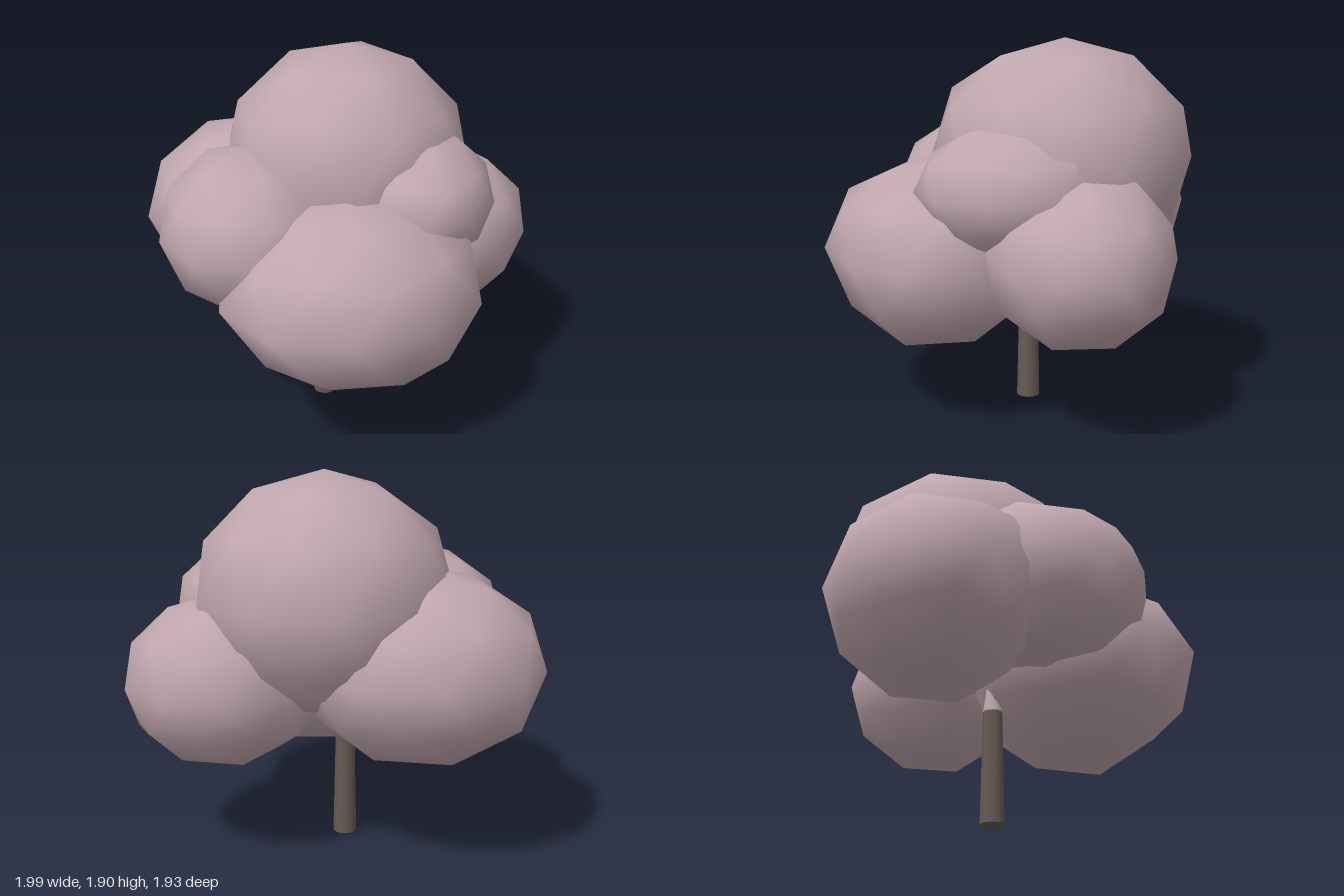
import * as THREE from 'three';
import { mergeVertices } from 'three/addons/utils/BufferGeometryUtils.js';

// Coarse smooth icosphere with a vertex at each pole.
// Each swell [x, y, z, amount] pushes the surface out (or in) around a direction.
function puffGeometry(radii, swells) {
  let g = new THREE.IcosahedronGeometry(1, 1);
  g.deleteAttribute('uv');
  g.deleteAttribute('normal');
  g = mergeVertices(g, 1e-4);
  g.rotateX(-Math.atan((1 + Math.sqrt(5)) / 2));
  g.rotateY(Math.PI / 2);
  const pos = g.attributes.position;
  const v = new THREE.Vector3();
  const dir = new THREE.Vector3();
  for (let i = 0; i < pos.count; i++) {
    v.fromBufferAttribute(pos, i);
    let size = 1;
    for (const [x, y, z, amount] of swells) {
      const near = v.dot(dir.set(x, y, z).normalize());
      size += amount * Math.max(0, (near - 0.72) / 0.28);
    }
    pos.setXYZ(i, v.x * size, v.y * size, v.z * size);
  }
  g.scale(...radii);
  g.computeVertexNormals();
  return g;
}

export function createModel() {
  const tree = new THREE.Group();
  tree.name = 'tree';
  const foliage = new THREE.MeshStandardMaterial({ color: 0xc0a7ad });
  foliage.name = 'dusty pink foliage';
  const bark = new THREE.MeshStandardMaterial({ color: 0x665a53 });
  bark.name = 'brown bark';

  const add = (name, geometry, material, x, y, z) => {
    const mesh = new THREE.Mesh(geometry, material);
    mesh.name = name;
    mesh.position.set(x, y, z);
    tree.add(mesh);
  };

  // Foliage clumps: name, centre, radii, swells
  const puffs = [
    ['topFoliage', [0.04, 1.3, -0.265], [0.64, 0.6, 0.635],
      [[0, 0.45, -0.9, 0.04], [-0.55, 0.1, 0.8, 0.05], [0, 0.45, 0.9, 0.06]]],
    ['frontFoliage', [0, 0.85, 0.37], [0.66, 0.54, 0.59],
      [[-0.65, -0.75, 0.15, -0.16], [-0.5, 0.85, 0.2, -0.1], [0.5, 0.85, 0.1, -0.13],
        [0, 0.8, 0.6, -0.06], [0, -0.8, 0.6, -0.08], [0, -0.8, -0.6, -0.12],
        [0.6, 0, 0.8, -0.08], [0.88, 0.45, 0, 0.06], [-0.85, 0.5, 0, -0.07]]],
    ['leftFoliage', [0.53, 0.895, -0.28], [0.49, 0.425, 0.47],
      [[0, 0.85, -0.5, 0.07], [0, 0.85, 0.5, -0.06], [0.6, 0, 0.8, -0.12], [0, 0.2, 1, 0.05]]],
    ['backRightFoliage', [-0.42, 0.98, -0.45], [0.605, 0.48, 0.52],
      [[-0.59, 0, -0.8, 0.06], [-0.95, 0, -0.3, -0.05], [-0.59, 0, 0.8, 0.06]]],
    ['frontRightFoliage', [-0.47, 1.07, 0.06], [0.45, 0.41, 0.525], []],
    ['smallLeftFoliage', [0.36, 1.2, 0], [0.405, 0.335, 0.49], []],
  ];
  for (const [name, centre, radii, swells] of puffs) {
    add(name, puffGeometry(radii, swells), foliage, ...centre);
  }

  // Trunk and its pink tip running up into the foliage
  add('trunk', new THREE.CylinderGeometry(0.048, 0.06, 0.565, 14), bark, -0.083, 0.2825, -0.1);
  add('trunkTip', new THREE.CylinderGeometry(0.02, 0.048, 0.2, 14), foliage, -0.083, 0.665, -0.1);

  return tree;
}
